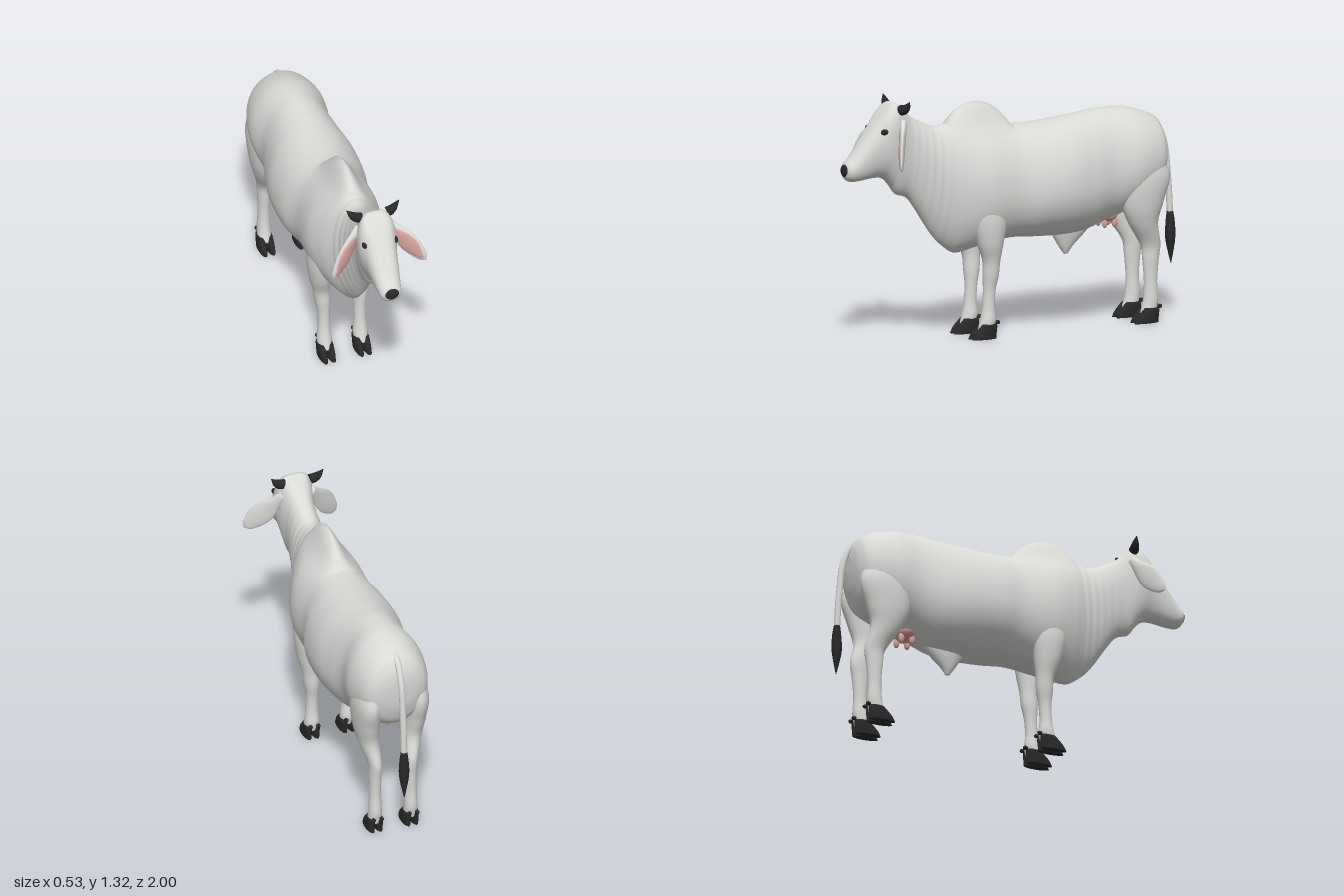
import * as THREE from 'three';

const V = (x, y, z) => new THREE.Vector3(x, y, z);
const bump = (z, centre, width) => Math.exp(-(((z - centre) / width) ** 2));
const dome = (z, centre, width) => Math.max(0, 1 - ((z - centre) / width) ** 2);

// Smoothly subdivide a few cross-section rows
function refine(rows, steps) {
  const out = [];
  const n = rows.length;
  for (let i = 0; i < n - 1; i++) {
    const a = rows[Math.max(i - 1, 0)], b = rows[i], c = rows[i + 1], d = rows[Math.min(i + 2, n - 1)];
    for (let k = 0; k < steps; k++) {
      const t = k / steps;
      out.push(b.map((q, j) => q + 0.5 * t * (c[j] - a[j]
        + t * (2 * a[j] - 5 * q + 4 * c[j] - d[j] + t * (3 * (q - c[j]) + d[j] - a[j])))));
    }
  }
  out.push(rows[n - 1]);
  return out;
}

// Closed smooth skin; point(row, cos, sin) gives each ring vertex
function loft(rows, steps, sides, point) {
  const rings = refine(rows, steps), pos = [], idx = [];
  for (const r of rings) {
    for (let j = 0; j < sides; j++) {
      const a = (j / sides) * Math.PI * 2;
      pos.push(...point(r, Math.cos(a), Math.sin(a)).toArray());
    }
  }
  const last = rings.length - 1;
  for (let i = 0; i < last; i++) {
    for (let j = 0; j < sides; j++) {
      const k = (j + 1) % sides, a = i * sides, b = a + sides;
      idx.push(a + j, a + k, b + j, a + k, b + k, b + j);
    }
  }
  for (let j = 1; j < sides - 1; j++) {
    idx.push(0, j + 1, j);
    idx.push(last * sides, last * sides + j, last * sides + j + 1);
  }
  const g = new THREE.BufferGeometry();
  g.setAttribute('position', new THREE.Float32BufferAttribute(pos, 3));
  g.setIndex(idx);
  g.computeVertexNormals();
  return g;
}

// Downward column, rows are [y, x, z, radiusX, radiusZ]
const column = (rows) =>
  loft(rows, 6, 20, ([y, x, z, rx, rz], c, s) => V(x + rx * c, y, z + rz * s));

const ball = (x, y, z, rx, ry, rz) =>
  new THREE.SphereGeometry(1, 24, 16).scale(rx, ry, rz).translate(x, y, z);

function mirrored(geo) {
  const g = geo.clone().scale(-1, 1, 1);
  g.index.array.reverse();
  return g;
}

export function createModel() {
  const group = new THREE.Group();
  const material = (name, color) => {
    const m = new THREE.MeshStandardMaterial({ color });
    m.name = name;
    return m;
  };
  const hide = material('pale grey hide', 0xdadad7);
  const black = material('black horn', 0x29292a);
  const pink = material('pink skin', 0xd9a5a0);

  const add = (name, geo, mat) => {
    const mesh = new THREE.Mesh(geo, mat);
    mesh.name = name;
    group.add(mesh);
  };
  const addPair = (name, geo, mat) => {
    add(name + 'Left', geo, mat);
    add(name + 'Right', mirrored(geo), mat);
  };

  // Body, neck and head: [z, top, bottom, halfWidth, widestY]
  const bodyRows = [
    [-0.907, 0.97, 0.88, 0.04, 0.92],
    [-0.89, 1.04, 0.77, 0.12, 0.9],
    [-0.84, 1.1, 0.67, 0.18, 0.88],
    [-0.7, 1.148, 0.6, 0.215, 0.86],
    [-0.55, 1.155, 0.55, 0.2, 0.82],
    [-0.42, 1.14, 0.51, 0.225, 0.78],
    [-0.28, 1.125, 0.5, 0.25, 0.78],
    [-0.12, 1.115, 0.505, 0.245, 0.77],
    [0.02, 1.12, 0.51, 0.212, 0.78],
    [0.2, 1.14, 0.48, 0.208, 0.8],
    [0.32, 1.15, 0.455, 0.168, 0.82],
    [0.39, 1.15, 0.49, 0.13, 0.85],
    [0.47, 1.15, 0.57, 0.103, 0.91],
    [0.6, 1.215, 0.76, 0.085, 1.02],
    [0.68, 1.285, 0.8, 0.096, 1.1],
    [0.715, 1.295, 0.845, 0.103, 1.13],
    [0.76, 1.26, 0.89, 0.103, 1.12],
    [0.82, 1.19, 0.9, 0.086, 1.07],
    [0.94, 1.035, 0.89, 0.064, 0.965],
    [0.975, 1.0, 0.9, 0.055, 0.95],
    [0.99, 0.975, 0.92, 0.035, 0.95],
  ];
  add('body', loft(bodyRows, 10, 64, ([z, top, bottom, w, mid], c, s) => {
    const up = s >= 0;
    // Boxy forehead and muzzle, narrow dewlap
    const power = up ? 1 - 0.5 * bump(z, 0.73, 0.16)
      : 1 + 0.35 * bump(z, 0.38, 0.13) - 0.25 * bump(z, 0.9, 0.08);
    // Neck folds fade in and out along the neck
    const fold = 1 + 0.03 * dome(z, 0.5, 0.14) * Math.sin(z * 140 + 2 * s);
    const x = w * fold * Math.sign(c) * Math.abs(c) ** power;
    const y = mid + s * (up ? top - mid : mid - bottom);
    // Shoulder hump along the spine
    const hump = up ? 0.118 * dome(z, 0.19, 0.19) ** 0.8 * bump(x, 0, 0.06) : 0;
    return V(x, y + hump, z);
  }), hide);

  // Legs
  addPair('frontLeg', column([
    [0.82, 0.125, 0.19, 0.05, 0.09], [0.65, 0.13, 0.18, 0.064, 0.095],
    [0.52, 0.122, 0.175, 0.06, 0.075], [0.42, 0.112, 0.165, 0.046, 0.05],
    [0.34, 0.105, 0.165, 0.042, 0.045], [0.26, 0.1, 0.17, 0.033, 0.035],
    [0.17, 0.1, 0.175, 0.033, 0.034], [0.1, 0.1, 0.178, 0.04, 0.044],
    [0.05, 0.1, 0.19, 0.036, 0.045],
  ]), hide);
  addPair('hindLeg', column([
    [0.97, 0.11, -0.72, 0.05, 0.1], [0.8, 0.132, -0.745, 0.072, 0.148],
    [0.65, 0.13, -0.735, 0.068, 0.122], [0.54, 0.12, -0.745, 0.055, 0.085],
    [0.42, 0.101, -0.797, 0.037, 0.059], [0.33, 0.1, -0.8, 0.033, 0.046],
    [0.22, 0.1, -0.8, 0.031, 0.037], [0.12, 0.1, -0.8, 0.036, 0.042],
    [0.05, 0.1, -0.785, 0.036, 0.045],
  ]), hide);

  // Cloven hooves and dewclaws
  for (const [leg, z] of [['front', 0.185], ['hind', -0.79]]) {
    for (const side of [-1, 1]) {
      const x = 0.1 + side * 0.022;
      addPair(leg + 'Hoof', column([
        [0.08, x, z - 0.005, 0.016, 0.04], [0.065, x, z, 0.021, 0.05],
        [0.03, x, z + 0.018, 0.022, 0.065], [0, x, z + 0.027, 0.021, 0.072],
      ]), black);
      addPair(leg + 'Dewclaw', ball(x, 0.085, z - 0.053, 0.012, 0.011, 0.014), black);
    }
  }

  // Belly flap and udder
  add('bellyFlap', column([
    [0.56, 0, -0.37, 0.05, 0.15], [0.5, 0, -0.36, 0.042, 0.1],
    [0.43, 0, -0.345, 0.024, 0.04], [0.39, 0, -0.345, 0.008, 0.012],
  ]), hide);
  add('udder', ball(0, 0.585, -0.585, 0.075, 0.045, 0.06), pink);
  for (const z of [-0.56, -0.62]) {
    addPair('teat', ball(0.035, 0.543, z, 0.014, 0.03, 0.016), pink);
  }

  // Tail and its tuft
  const tailPath = new THREE.CatmullRomCurve3([
    V(0, 1.1, -0.76), V(0, 1.075, -0.86), V(0, 0.96, -0.93),
    V(0, 0.75, -0.96), V(0, 0.55, -0.973),
  ]);
  add('tail', new THREE.TubeGeometry(tailPath, 40, 0.017, 14), hide);
  add('tailTuft', column([
    [0.575, 0, -0.972, 0.015, 0.015], [0.5, 0, -0.974, 0.025, 0.025],
    [0.41, 0, -0.974, 0.026, 0.026], [0.285, 0, -0.978, 0.002, 0.002],
  ]), black);

  // Drooping ears: [distance, halfWidth, thickness, forwardOffset]
  const root = V(0.095, 1.175, 0.685);
  const along = V(0.58, -0.73, 0.36).normalize();
  const face = V(-0.53, 0, 0.85).normalize();
  const across = new THREE.Vector3().crossVectors(face, along);
  const ear = (rows) => loft(rows, 6, 24, ([d, w, t, f], c, s) => root.clone()
    .addScaledVector(along, d).addScaledVector(across, w * c).addScaledVector(face, t * s + f));
  addPair('ear', ear([
    [-0.03, 0.025, 0.02, 0], [0.03, 0.036, 0.018, 0], [0.1, 0.056, 0.015, 0],
    [0.17, 0.058, 0.014, 0], [0.25, 0.034, 0.01, 0], [0.278, 0.004, 0.003, 0],
  ]), hide);
  addPair('innerEar', ear([
    [0.025, 0.012, 0.005, 0.012], [0.06, 0.03, 0.01, 0.01], [0.11, 0.044, 0.01, 0.009],
    [0.17, 0.046, 0.01, 0.009], [0.258, 0.012, 0.004, 0.007],
  ]), pink);

  // Horns sweeping outward and up: [x, y, z, radius]
  addPair('horn', loft([
    [0.075, 1.262, 0.685, 0.026], [0.1, 1.268, 0.682, 0.024],
    [0.125, 1.285, 0.677, 0.017], [0.146, 1.314, 0.674, 0.002],
  ], 6, 16, ([x, y, z, r], c, s) => V(x - 0.4 * r * c, y + r * c, z + r * s)), black);

  // Eyes and nose
  addPair('eye', ball(0.086, 1.155, 0.79, 0.013, 0.016, 0.024), black);
  add('nose', ball(0, 0.95, 0.962, 0.053, 0.044, 0.038), black);

  return group;
}
